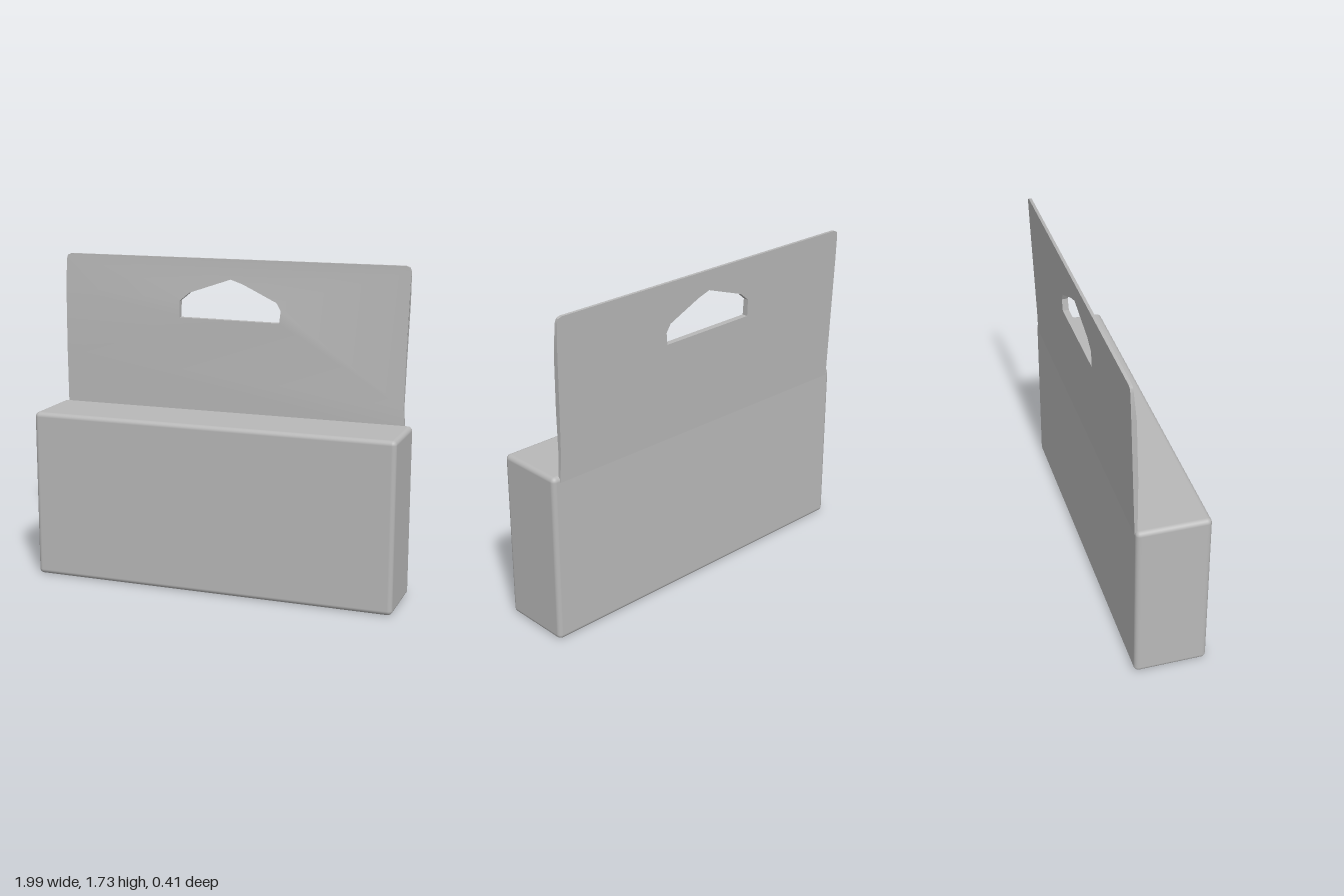
import * as THREE from 'three';
import { toCreasedNormals } from 'three/addons/utils/BufferGeometryUtils.js';
import { RoundedBoxGeometry } from 'three/addons/geometries/RoundedBoxGeometry.js';

const V = (x, y) => new THREE.Vector2(x, y);
const { lerp, smoothstep } = THREE.MathUtils;

// Flat back panel with a gable-shaped hang hole, leaning slightly backwards
function panelGeometry() {
  const shape = new THREE.Shape([
    V(-0.965, 0.85), V(0.955, 0.85), V(0.945, 1.0), V(0.95, 1.25), V(0.958, 1.55),
    V(0.958, 1.7), V(0.95, 1.722), V(0.93, 1.73),
    V(-0.945, 1.73), V(-0.965, 1.722), V(-0.972, 1.7), V(-0.972, 1.55), V(-0.968, 1.2),
  ]);
  shape.holes.push(new THREE.Path([
    V(-0.295, 1.41), V(-0.295, 1.5), V(-0.24, 1.545), V(-0.01, 1.623),
    V(0.06, 1.6), V(0.25, 1.512), V(0.275, 1.47), V(0.268, 1.405),
  ]));
  const geo = new THREE.ExtrudeGeometry(shape, { depth: 1, bevelEnabled: false });
  const p = geo.attributes.position;
  for (let i = 0; i < p.count; i++) {
    const y = p.getY(i);
    const back = lerp(-0.179, -0.21, (y - 0.85) / 0.88);
    const front = lerp(-0.166, -0.194, smoothstep(y, 1.4, 1.73));
    p.setZ(i, p.getZ(i) > 0.5 ? front : back);
  }
  return toCreasedNormals(geo, 0.6);
}

export function createModel() {
  const group = new THREE.Group();
  const grey = new THREE.MeshStandardMaterial({ color: 0xb8b8b8 });
  grey.name = 'plain grey';

  // Carton body
  const body = new THREE.Mesh(new RoundedBoxGeometry(1.99, 0.91, 0.382, 3, 0.025), grey);
  body.name = 'cartonBody';
  body.position.set(0, 0.455, 0.011);
  group.add(body);

  const panel = new THREE.Mesh(panelGeometry(), grey);
  panel.name = 'hangPanel';
  group.add(panel);
  return group;
}
